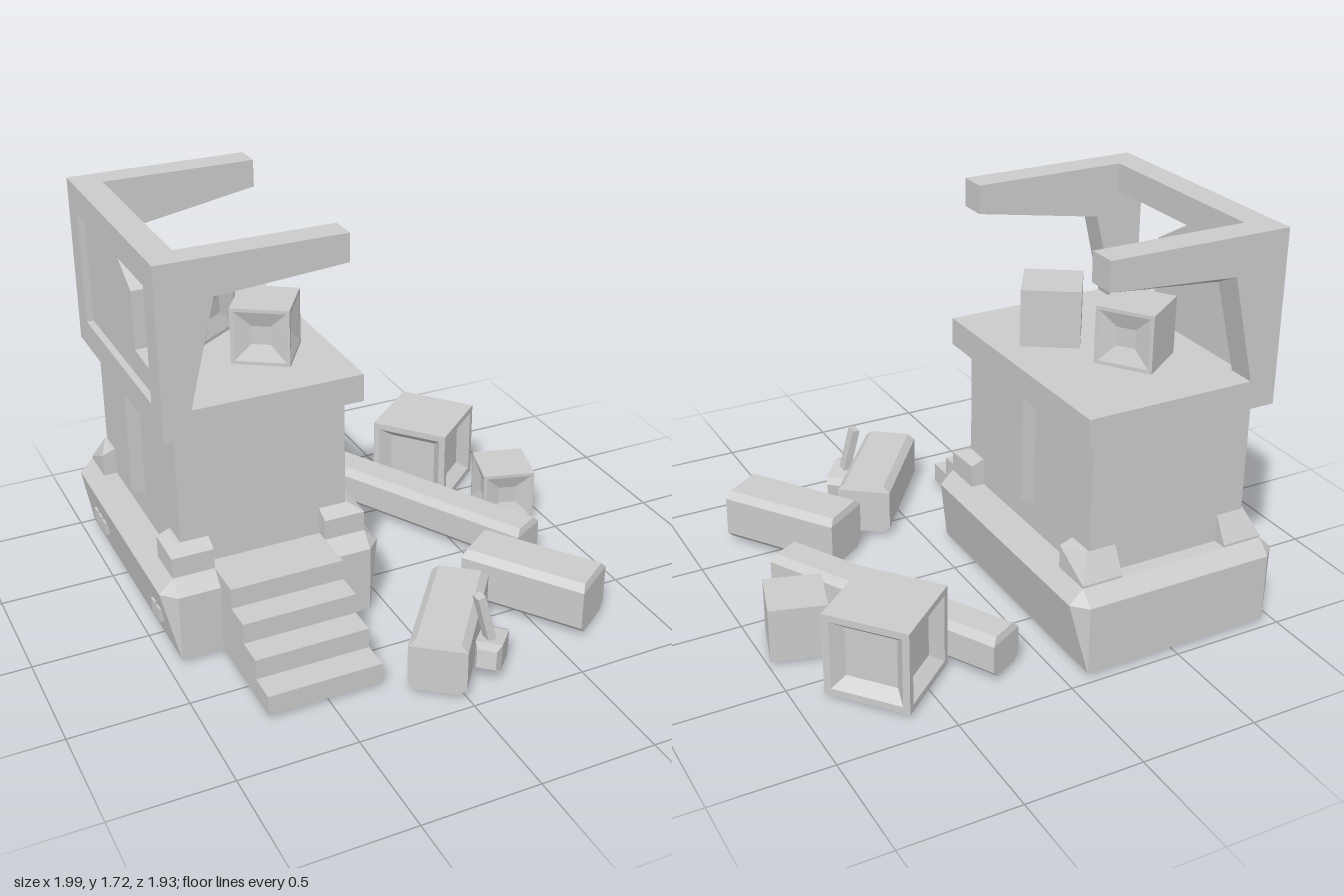
import * as THREE from 'three';
import { ConvexGeometry } from 'three/addons/geometries/ConvexGeometry.js';

const mat = new THREE.MeshStandardMaterial({ color: 0xcccccc, flatShading: true, side: THREE.DoubleSide });

export function createModel() {
  const root = new THREE.Group();

  const add = (name, geometry, parent = root) => {
    const mesh = new THREE.Mesh(geometry, mat);
    mesh.name = name;
    parent.add(mesh);
    return mesh;
  };
  // Box given by its lower and upper limits
  const box = (name, x0, x1, y0, y1, z0, z1, parent) =>
    add(name, new THREE.BoxGeometry(x1 - x0, y1 - y0, z1 - z0)
      .translate((x0 + x1) / 2, (y0 + y1) / 2, (z0 + z1) / 2), parent);
  const hull = (name, pts, parent) =>
    add(name, new ConvexGeometry(pts.map(p => new THREE.Vector3(...p))), parent);
  const rect = (x0, x1, z0, z1, y) => [[x0, y, z0], [x1, y, z0], [x1, y, z1], [x0, y, z1]];

  // Chamfered plinth, flaring at the sides
  hull('base', [
    ...rect(-0.94, -0.09, -0.97, 0.25, 0.02),
    ...rect(-1.0, -0.03, -0.91, 0.19, 0.32),
    ...rect(-0.94, -0.09, -0.97, 0.25, 0.32),
    ...rect(-0.94, -0.09, -0.91, 0.19, 0.38),
  ]);

  // Small slots in the plinth's side
  for (const z of [-0.76, -0.7, -0.64, 0.04, 0.1]) {
    box('ventSlot', -0.985, -0.96, 0.14, 0.2, z - 0.02, z + 0.02);
  }

  // Stairs
  for (let i = 0; i < 4; i++) {
    box('step', -0.76, -0.27, 0.02, 0.38 - i * 0.09, 0.15, 0.365 + i * 0.122);
  }

  // Walls and side pilasters with sloped feet
  box('walls', -0.88, -0.15, 0.38, 0.98, -0.85, 0.13);
  for (const s of [-1, 1]) {
    const wall = -0.515 + s * 0.365, out = -0.515 + s * 0.425;
    hull('pilaster', [-0.42, -0.3].flatMap(z =>
      [[wall, 0.5, z], [wall, 1.0, z], [out, 1.0, z], [out, 0.53, z]]));
  }

  // Corner feet, sloping away from the walls
  for (const sx of [-1, 1]) for (const sz of [-1, 1]) {
    const X = d => -0.515 + sx * (0.425 - d), Z = d => -0.36 + sz * (0.55 - d);
    const lip = sz > 0 ? 0.47 : 0.39;
    hull('cornerFoot', [
      ...rect(X(0), X(0.18), Z(0), Z(0.18), 0.38),
      [X(0), lip, Z(0)], [X(0.18), lip, Z(0)], [X(0), 0.48, Z(0.18)],
      ...rect(X(0.05), X(0.18), Z(0.06), Z(0.18), 0.5),
    ]);
  }

  // Roof slab with a bevelled underside
  hull('roofSlab', [
    ...rect(-0.88, -0.15, -0.85, 0.13, 0.97),
    ...rect(-0.94, -0.09, -0.91, 0.19, 0.99),
    ...rect(-0.94, -0.09, -0.91, 0.19, 1.11),
  ]);

  // Cantilevered frame: two bracket arms joined by a rail
  const armShape = new THREE.Shape([
    [-0.94, 1.11], [-0.82, 1.11], [-0.71, 1.56], [-0.15, 1.6], [-0.15, 1.72], [-0.94, 1.72],
  ].map(p => new THREE.Vector2(...p)));
  for (const [z0, innerZ] of [[0.07, 0.07], [-0.91, -0.79]]) {
    const g = new THREE.ExtrudeGeometry(armShape, { depth: 0.12, bevelEnabled: false }).translate(0, 0, z0);
    const p = g.attributes.position;
    // The gusset hangs lower on the inner side
    for (let i = 0; i < p.count; i++) {
      if (Math.abs(p.getY(i) - 1.56) < 0.01 && Math.abs(p.getZ(i) - innerZ) < 0.01) {
        p.setX(i, -0.72);
        p.setY(i, 1.5);
      }
    }
    g.computeVertexNormals();
    add('frameArm', g);
  }
  box('frameRail', -0.94, -0.82, 1.6, 1.72, -0.79, 0.07);

  // Broken wall panel; shape x runs along -z
  const panel = new THREE.Shape([
    [-0.07, 1.11], [0.79, 1.11], [0.79, 1.6], [0.42, 1.6], [0.2, 1.47], [0.2, 1.22], [0, 1.21], [-0.07, 1.2],
  ].map(p => new THREE.Vector2(...p)));
  add('brokenPanel', new THREE.ExtrudeGeometry(panel, { depth: 0.06, bevelEnabled: false })
    .rotateY(Math.PI / 2).translate(-0.91, 0, 0));

  // Fallen blocks: long boxes with chamfered edges
  const block = (name, x, z, angle, w, h, l) => {
    const c = 0.03, a = w / 2, pts = [];
    for (const e of [-1, 1]) for (const s of [-1, 1]) {
      const z1 = e * l / 2;
      pts.push([s * (a - c), 0, z1], [s * a, c, z1], [s * a, h - c, z1], [s * (a - c), h, z1 - e * 0.01]);
    }
    const m = hull(name, pts);
    m.position.set(x, 0.02, z);
    m.rotation.y = angle;
  };
  block('fallenBeam', 0.45, -0.295, 0.5, 0.18, 0.18, 1.13);
  block('fallenBlock', 0.555, 0.51, 0.61, 0.24, 0.235, 0.56);
  block('fallenBlock', 0.065, 0.665, -0.66, 0.24, 0.235, 0.555);

  // Crates: every face has a rim, a slope and a sunken panel
  const crate = (name, x, y, z, angle, size, rim, inner, depth, dented) => {
    const g = new THREE.Group();
    g.name = name;
    g.position.set(x, y + size / 2, z);
    g.rotation.y = angle;
    const h = size / 2;
    const rings = [[h, h], [h - rim, h], [inner, h - depth]];
    const turns = [[0, 0], [0, 1], [0, 2], [0, 3], [1, 0], [-1, 0]];
    turns.forEach(([tx, ty], f) => {
      const v = [];
      const quad = (a, b, c, d) => v.push(...a, ...b, ...c, ...a, ...c, ...d);
      const ring = ([r, d]) => [[-r, -r, d], [r, -r, d], [r, r, d], [-r, r, d]];
      if (dented.includes(f)) {
        for (let i = 0; i < 2; i++) {
          const o = ring(rings[i]), n = ring(rings[i + 1]);
          for (let k = 0; k < 4; k++) quad(o[k], o[(k + 1) % 4], n[(k + 1) % 4], n[k]);
        }
        quad(...ring(rings[2]));
      } else quad(...ring(rings[0]));
      const geo = new THREE.BufferGeometry();
      geo.setAttribute('position', new THREE.Float32BufferAttribute(v, 3));
      geo.rotateX(tx * Math.PI / 2).rotateY(ty * Math.PI / 2);
      geo.computeVertexNormals();
      add('crateFace', geo, g);
    });
    root.add(g);
  };
  crate('largeCrate', 0.625, 0.02, -0.63, 0.7, 0.365, 0.03, 0.11, 0.05, [0, 1, 2, 3, 4]);
  crate('smallCrate', 0.845, 0.02, -0.24, -0.28, 0.24, 0.015, 0.04, 0.025, [0, 3]);
  crate('roofCrate', -0.545, 1.11, -0.51, 0.61, 0.245, 0.015, 0.04, 0.025, [0, 1]);
  crate('roofCrate', -0.365, 1.11, -0.165, -0.58, 0.245, 0.015, 0.04, 0.025, [0, 1]);

  // Hammer lying on its head, handle leaning up
  const hammer = new THREE.Group();
  hammer.name = 'hammer';
  hammer.position.set(0.18, 0.1, 0.815);
  hammer.rotation.set(0, -0.72, 0);
  const head = [];
  for (const [z, w, h] of [[-0.11, 0.04, 0.04], [-0.07, 0.055, 0.055], [0.07, 0.055, 0.055], [0.11, 0.04, 0.04]]) {
    for (const sx of [-1, 1]) for (const sy of [-1, 1]) head.push([sx * w, sy * h, z]);
  }
  hull('hammerHead', head, hammer).rotation.x = -0.15;
  root.add(hammer);
  const from = new THREE.Vector3(0.2, 0.005, 0.83), to = new THREE.Vector3(0.12, 0.36, 0.8);
  const handle = add('hammerHandle', new THREE.BoxGeometry(0.035, from.distanceTo(to), 0.05));
  handle.position.copy(from).add(to).multiplyScalar(0.5);
  handle.quaternion.setFromUnitVectors(new THREE.Vector3(0, 1, 0), to.clone().sub(from).normalize());

  return root;
}
